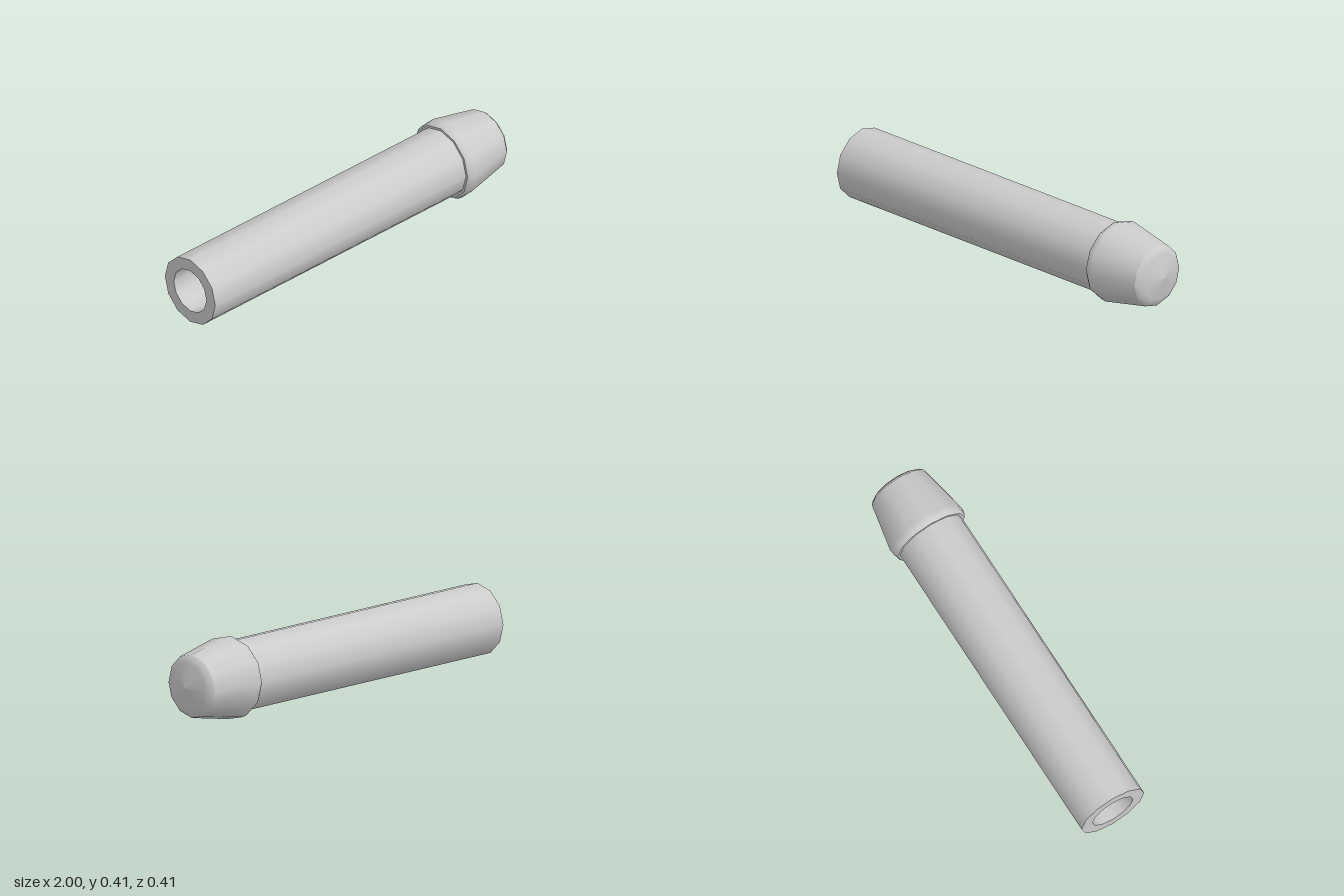
import * as THREE from 'three';

const SIDES = 12;
const HEIGHT = 0.205; // axis height above the ground
const TUBE = 0.178, BORE = 0.115, NECK = 0.66;

export function createModel() {
  const group = new THREE.Group();
  const material = new THREE.MeshStandardMaterial({ color: 0xcccccc });

  // Turned part: profile points are [position along x, radius]
  function turned(name, profile) {
    const points = profile.map(([x, r]) => new THREE.Vector2(r, x));
    const geometry = new THREE.LatheGeometry(points, SIDES);
    geometry.rotateZ(-Math.PI / 2);
    const mesh = new THREE.Mesh(geometry, material);
    mesh.name = name;
    mesh.position.y = HEIGHT;
    group.add(mesh);
  }

  // Hollow shaft: outer wall, open end rim, bore wall and bore floor
  turned('shaftWall', [[-1, TUBE], [NECK, TUBE]]);
  turned('endRim', [[-1, BORE], [-1, TUBE]]);
  turned('boreWall', [[NECK, BORE], [-1, BORE]]);
  turned('boreFloor', [[NECK, 0], [NECK, BORE]]);

  // Flared head: shoulder and taper, then the softly rounded nose
  turned('headShoulder', [[NECK, TUBE], [NECK, 0.19]]);
  turned('headTaper', [[NECK, 0.19], [0.675, 0.2], [0.705, 0.205], [0.95, 0.157]]);
  turned('nose', [[0.95, 0.157], [0.965, 0.143], [0.976, 0.117], [1, 0]]);

  return group;
}
